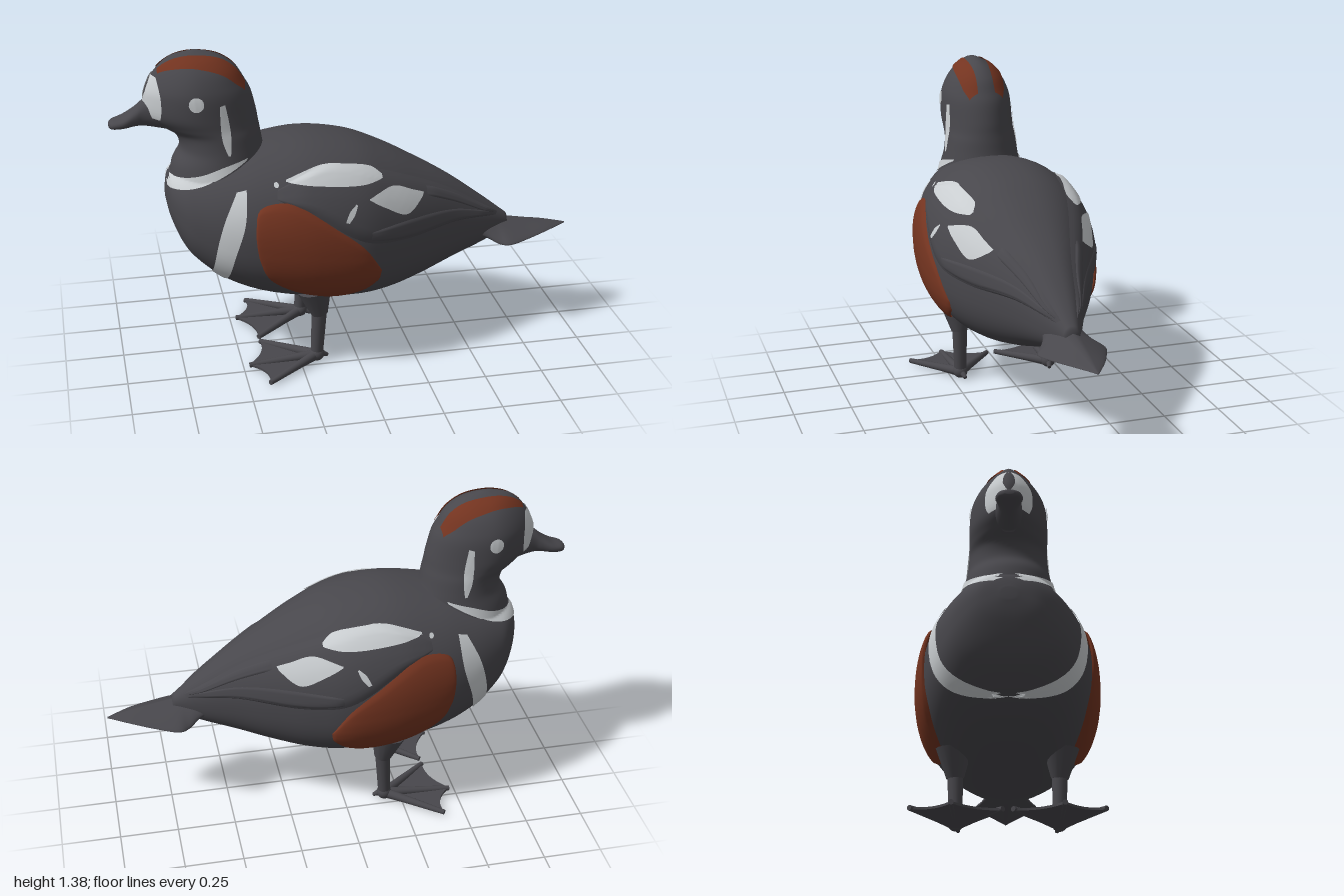
import * as THREE from 'three';

const mat = (name, color) => {
  const m = new THREE.MeshStandardMaterial({ color, side: THREE.DoubleSide });
  m.name = name;
  return m;
};

// Smoothly resample a table of cross-sections
function smoothRows(rows, steps) {
  const out = [], last = rows.length - 1;
  const at = (i) => rows[Math.min(Math.max(i, 0), last)];
  for (let i = 0; i < last; i++) for (let k = 0; k < steps; k++) {
    const t = k / steps;
    out.push(rows[i].map((p1, c) => {
      const p0 = at(i - 1)[c], p2 = at(i + 1)[c], p3 = at(i + 2)[c];
      return p1 + 0.5 * t * (p2 - p0 + t * (2 * p0 - 5 * p1 + 4 * p2 - p3 + t * (3 * (p1 - p2) + p3 - p0)));
    }));
  }
  out.push(rows[last]);
  return out;
}

// Closed loft; point(row, cos, sin) gives one vertex of a ring
function loft(table, point, steps = 6, n = 56) {
  const rows = smoothRows(table, steps), pos = [], idx = [];
  for (const r of rows) for (let j = 0; j < n; j++) {
    const t = (j / n) * Math.PI * 2;
    pos.push(...point(r, Math.cos(t), Math.sin(t)));
  }
  const R = rows.length, start = R * n, end = start + 1;
  for (const ring of [0, R - 1]) {
    const c = [0, 0, 0];
    for (let j = 0; j < n; j++) for (let k = 0; k < 3; k++) c[k] += pos[(ring * n + j) * 3 + k] / n;
    pos.push(...c);
  }
  for (let j = 0; j < n; j++) {
    const k = (j + 1) % n;
    for (let i = 0; i < R - 1; i++) {
      const a = i * n + j, b = a + n, c = i * n + k, d = c + n;
      idx.push(a, b, c, b, d, c);
    }
    idx.push(start, j, k, end, (R - 1) * n + k, (R - 1) * n + j);
  }
  return toGeometry(pos, idx);
}

function toGeometry(pos, idx) {
  const g = new THREE.BufferGeometry();
  g.setAttribute('position', new THREE.Float32BufferAttribute(pos, 3));
  g.setIndex(idx);
  g.computeVertexNormals();
  return g;
}

// Patch between two edge curves, laid on the target meshes
const ray = new THREE.Raycaster();
function patch(targets, edgeA, edgeB, side, { fromTop = false, lift = () => 0.005, nu = 28, nv = 8 } = {}) {
  const [A, B] = [edgeA, edgeB].map((e) => new THREE.SplineCurve(e.map((p) => new THREE.Vector2(...p))));
  const pos = [], idx = [], origin = new THREE.Vector3(), dir = new THREE.Vector3();
  for (let i = 0; i <= nu; i++) for (let j = 0; j <= nv; j++) {
    const u = i / nu, v = j / nv, p = A.getPoint(u).lerp(B.getPoint(u), v);
    let hit;
    for (let k = 0; k < 30 && !hit; k++) {
      const x = p.x + (p.x < 0 ? 1 : -1) * k * 0.005;
      if (fromTop) { origin.set(x, 3, p.y * side); dir.set(0, -1, 0); }
      else { origin.set(x, p.y, 3 * side); dir.set(0, 0, -side); }
      ray.set(origin, dir);
      hit = ray.intersectObjects(targets, false)[0];
    }
    const q = hit ? hit.point.clone() : origin.clone().setZ(0);
    if (hit) {
      const nrm = hit.face.normal.clone();
      if (nrm.dot(dir) > 0) nrm.negate();
      q.addScaledVector(nrm, lift(u, v));
    }
    pos.push(q.x, q.y, q.z);
    if (i < nu && j < nv) {
      const a = i * (nv + 1) + j, b = a + nv + 1;
      idx.push(...(side > 0 ? [a, a + 1, b, b, a + 1, b + 1] : [a, b, a + 1, b, b + 1, a + 1]));
    }
  }
  return toGeometry(pos, idx);
}

// Tapered rod between two points
function rod(a, b, r1, r2) {
  const A = new THREE.Vector3(...a), B = new THREE.Vector3(...b), d = B.clone().sub(A);
  const g = new THREE.CylinderGeometry(r2, r1, d.length(), 14);
  g.applyQuaternion(new THREE.Quaternion().setFromUnitVectors(new THREE.Vector3(0, 1, 0), d.normalize()));
  return g.translate(...A.add(B).multiplyScalar(0.5).toArray());
}

export function createModel() {
  const duck = new THREE.Group();
  duck.name = 'duck';
  const slate = mat('slate plumage', 0x48474c);
  const white = mat('white markings', 0xc9cdd0);
  const chestnut = mat('chestnut plumage', 0x743420);
  const add = (name, geo, m = slate, parent = duck) => {
    const mesh = new THREE.Mesh(geo, m);
    mesh.name = name;
    parent.add(mesh);
    return mesh;
  };
  const pw = (v, e) => Math.sign(v) * Math.abs(v) ** e;

  // Body: x, top, bottom, half width, height of widest point
  const body = add('body', loft([
    [-0.782, 0.79, 0.74, 0.03, 0.765], [-0.765, 0.85, 0.66, 0.12, 0.75], [-0.72, 0.885, 0.55, 0.195, 0.71],
    [-0.66, 0.905, 0.475, 0.245, 0.67], [-0.55, 0.935, 0.39, 0.3, 0.64], [-0.4, 0.97, 0.325, 0.342, 0.63],
    [-0.2, 0.995, 0.285, 0.365, 0.61], [0, 0.968, 0.27, 0.352, 0.58], [0.15, 0.91, 0.28, 0.3, 0.56],
    [0.3, 0.83, 0.315, 0.228, 0.55], [0.45, 0.74, 0.365, 0.152, 0.535], [0.6, 0.63, 0.415, 0.085, 0.515],
    [0.72, 0.535, 0.465, 0.03, 0.5],
  ], ([x, top, bot, w, yc], c, s) =>
    [x, yc + (s > 0 ? top - yc : yc - bot) * pw(s, s > 0 ? 0.95 : 0.78), w * pw(c, s > 0 ? 0.86 : 0.81)]));

  // Head and neck: y, front, back, half width; narrower towards the face
  const head = add('headAndNeck', loft([
    [0.78, -0.765, -0.3, 0.215], [0.9, -0.75, -0.345, 0.182], [0.97, -0.715, -0.365, 0.167],
    [1.03, -0.73, -0.375, 0.16], [1.07, -0.79, -0.382, 0.158], [1.12, -0.845, -0.39, 0.159],
    [1.2, -0.852, -0.41, 0.155], [1.25, -0.838, -0.435, 0.142], [1.3, -0.808, -0.465, 0.116],
    [1.34, -0.77, -0.51, 0.08], [1.365, -0.73, -0.56, 0.04], [1.38, -0.66, -0.62, 0.01],
  ], ([y, f, b, w], c, s) => {
    const taper = 0.4 * THREE.MathUtils.smoothstep(y, 0.98, 1.12);
    return [(f + b) / 2 + ((b - f) / 2) * c, y, w * s * (c < 0 ? 1 - taper * c * c : 1)];
  }));

  // Bill: x, top, bottom, half width
  add('bill', loft([
    [-1, 1.092, 1.075, 0.018], [-0.985, 1.104, 1.066, 0.042], [-0.94, 1.12, 1.067, 0.054],
    [-0.89, 1.153, 1.072, 0.047], [-0.85, 1.185, 1.07, 0.046], [-0.76, 1.23, 1.05, 0.07],
  ], ([x, t, b, w], c, s) => [x, (t + b) / 2 + ((t - b) / 2) * pw(s, 0.85), w * c], 5, 28));

  // Tail: x, ridge height, half thickness, half width, droop of the edges
  add('tail', loft([
    [0.48, 0.54, 0.04, 0.08, 0.03], [0.6, 0.52, 0.035, 0.085, 0.05], [0.66, 0.512, 0.025, 0.12, 0.072],
    [0.71, 0.505, 0.016, 0.143, 0.066], [0.8, 0.492, 0.012, 0.112, 0.045], [0.9, 0.477, 0.008, 0.066, 0.02],
    [1, 0.46, 0.003, 0.004, 0],
  ], ([x, y, h, w, d], c, s) => [x, y + h * s - d * Math.abs(c), w * c], 5, 32));

  // Folded wings, each with two raised rows of long feathers
  const raised = (h) => (u, v) => h * (1 - 0.45 * u) * Math.min(1, 8 * Math.min(u, 1 - u, v, 1 - v)) - 0.002;
  const wings = [];
  for (const s of [1, -1]) {
    const wing = add('wing', patch([body],
      [[-0.36, 0.85], [-0.1, 0.93], [0.15, 0.86], [0.4, 0.745], [0.58, 0.625], [0.68, 0.555]],
      [[-0.36, 0.82], [-0.2, 0.74], [0, 0.61], [0.2, 0.575], [0.45, 0.58], [0.68, 0.545]],
      s, { lift: raised(0.016), nu: 40, nv: 14 }));
    const flight = [
      [[[0.02, 0.66], [0.25, 0.665], [0.45, 0.64], [0.67, 0.56]], [[0.02, 0.615], [0.2, 0.585], [0.45, 0.59], [0.67, 0.55]]],
      [[[0.3, 0.775], [0.45, 0.7], [0.58, 0.615], [0.66, 0.567]], [[0.3, 0.735], [0.45, 0.665], [0.58, 0.595], [0.66, 0.558]]],
    ].map(([a, b]) => add('flightFeathers', patch([body, wing], a, b, s, { lift: raised(0.007) })));
    wings.push(wing, ...flight);
  }

  const all = [body, head, ...wings];
  const dot = (x, y, r, sign) => Array.from({ length: 9 }, (_, i) => {
    const t = (i / 8) * Math.PI;
    return [x - r * Math.cos(t), y + sign * r * Math.sin(t)];
  });

  // White markings, by their two edges seen from the side
  const markings = {
    breastStripe: [
      [[-0.51, 0.84], [-0.565, 0.73], [-0.6, 0.6], [-0.612, 0.46], [-0.588, 0.41]],
      [[-0.47, 0.85], [-0.485, 0.72], [-0.53, 0.57], [-0.555, 0.45], [-0.575, 0.41]]],
    collar: [
      [[-0.772, 0.855], [-0.65, 0.888], [-0.55, 0.925], [-0.45, 0.95]],
      [[-0.772, 0.82], [-0.65, 0.845], [-0.55, 0.89], [-0.455, 0.94]]],
    neckStripe: [
      [[-0.557, 1.18], [-0.557, 1.1], [-0.55, 1.03], [-0.53, 0.97]],
      [[-0.535, 1.185], [-0.52, 1.1], [-0.515, 1.03], [-0.52, 0.97]]],
    earSpot: [dot(-0.65, 1.195, 0.03, 1), dot(-0.65, 1.195, 0.03, -1)],
    facePatch: [
      [[-0.815, 1.29], [-0.84, 1.23], [-0.852, 1.18], [-0.838, 1.12]],
      [[-0.797, 1.285], [-0.785, 1.21], [-0.785, 1.15], [-0.79, 1.115]]],
    shoulderPatch: [
      [[-0.31, 0.885], [-0.15, 0.925], [0.03, 0.9], [0.1, 0.86]],
      [[-0.31, 0.878], [-0.18, 0.862], [0, 0.843], [0.1, 0.848]]],
    shoulderSpot: [dot(-0.35, 0.868, 0.01, 1), dot(-0.35, 0.868, 0.01, -1)],
    wingPatch: [
      [[0.03, 0.79], [0.14, 0.812], [0.24, 0.772], [0.29, 0.75]],
      [[0.03, 0.785], [0.1, 0.74], [0.2, 0.69], [0.28, 0.735]]],
    wingBar: [[[-0.08, 0.715], [-0.06, 0.755], [-0.03, 0.78]], [[-0.065, 0.71], [-0.04, 0.74], [-0.025, 0.775]]],
  };
  for (const s of [1, -1]) {
    for (const [name, [a, b]] of Object.entries(markings)) add(name, patch(all, a, b, s), white);

    // Bulging chestnut flank and crown stripe
    const swell = (u, v) => Math.max(0, Math.sin(Math.PI * u) * Math.sin(Math.PI * v)) ** 0.35;
    add('flank', patch([body],
      [[-0.445, 0.68], [-0.425, 0.78], [-0.32, 0.805], [-0.24, 0.775], [-0.12, 0.69], [0, 0.59], [0.08, 0.47]],
      [[-0.445, 0.66], [-0.43, 0.56], [-0.38, 0.46], [-0.24, 0.37], [-0.12, 0.34], [0, 0.37], [0.075, 0.43]],
      s, { lift: (u, v) => 0.006 + 0.018 * swell(u, v), nu: 36, nv: 18 }), chestnut);
    add('crownStripe', patch([head],
      [[-0.79, 0.018], [-0.7, 0.034], [-0.6, 0.04], [-0.5, 0.036], [-0.44, 0.038]],
      [[-0.79, 0.036], [-0.7, 0.08], [-0.6, 0.1], [-0.5, 0.095], [-0.445, 0.075]],
      s, { fromTop: true }), chestnut);

    // Leg with webbed foot
    const leg = new THREE.Group();
    leg.name = 'leg';
    leg.scale.z = s;
    duck.add(leg);
    add('thigh', rod([-0.19, 0.36, 0.22], [-0.165, 0.235, 0.215], 0.076, 0.036), slate, leg);
    add('shank', rod([-0.165, 0.27, 0.215], [-0.178, 0.035, 0.21], 0.034, 0.027), slate, leg);
    add('ankle', new THREE.SphereGeometry(0.033, 16, 12).translate(-0.178, 0.036, 0.21), slate, leg);
    add('hindToe', rod([-0.17, 0.04, 0.21], [-0.13, 0.018, 0.2], 0.018, 0.008), slate, leg);
    const tips = [[-0.41, 0.385], [-0.475, 0.22], [-0.4, 0.02]];
    for (const [x, z] of tips) add('toe', rod([-0.178, 0.032, 0.21], [x, 0.016, z], 0.021, 0.011), slate, leg);
    const web = new THREE.Shape();
    web.moveTo(-0.16, 0.21);
    web.lineTo(...tips[0]);
    web.quadraticCurveTo(-0.385, 0.29, ...tips[1]);
    web.quadraticCurveTo(-0.385, 0.13, ...tips[2]);
    add('web', new THREE.ExtrudeGeometry(web, { depth: 0.01, bevelEnabled: false })
      .rotateX(Math.PI / 2).translate(0, 0.02, 0), slate, leg);
  }
  return duck;
}
